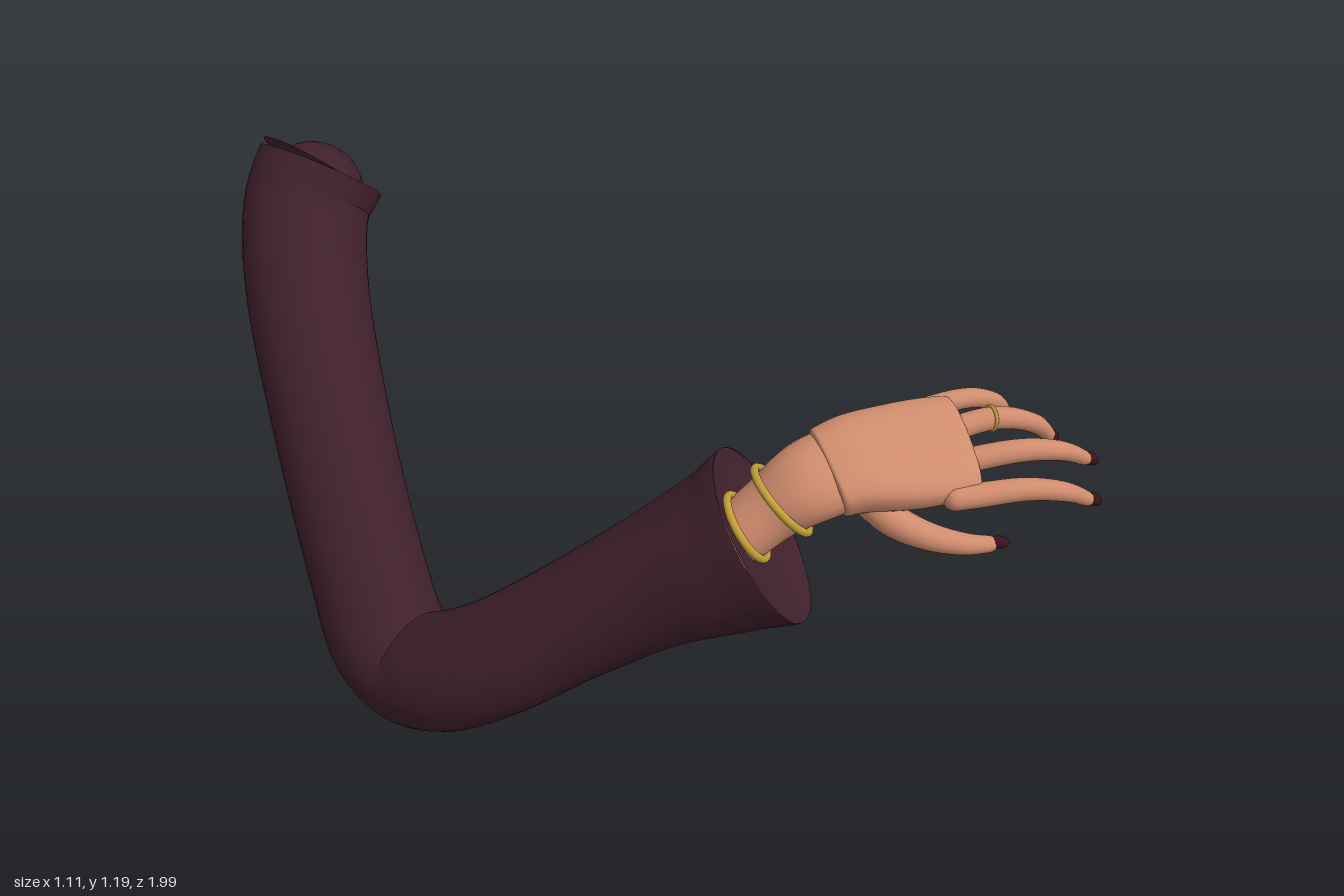
import * as THREE from 'three';

const V = (p) => new THREE.Vector3(...p);
const mat = (name, color, side = THREE.FrontSide) => {
  const m = new THREE.MeshStandardMaterial({ color, side });
  m.name = name;
  return m;
};

// Sweep an oval section along a curve. Radii are [across, thick] per control point;
// power < 1 squares the section, capStart and capEnd are rounded fractions of the length.
function sweep(points, radii, { across = [0, 0, 1], rings = 28, sides = 20, power = 1, capStart = 0, capEnd = 0 } = {}) {
  const curve = new THREE.CatmullRomCurve3(points.map(V));
  const sizes = new THREE.SplineCurve(radii.map((r) => new THREE.Vector2(...r)));
  const ref = V(across).normalize(), pos = [], index = [];
  const bend = (x) => Math.sign(x) * Math.abs(x) ** power;
  for (let k = 0; k <= rings; k++) {
    const s = capStart || capEnd ? (1 - Math.cos(Math.PI * k / rings)) / 2 : k / rings;
    const c = curve.getPoint(s), t = curve.getTangent(s);
    const u = ref.clone().addScaledVector(t, -ref.dot(t)).normalize();
    const v = t.clone().cross(u);
    let q = 1;
    if (s < capStart) q = Math.sqrt(Math.max(0, 1 - (1 - s / capStart) ** 2));
    if (s > 1 - capEnd) q = Math.sqrt(Math.max(0, 1 - ((s - 1 + capEnd) / capEnd) ** 2));
    const size = sizes.getPoint(s).multiplyScalar(Math.max(q, 0.001));
    for (let n = 0; n < sides; n++) {
      const w = n / sides * Math.PI * 2;
      const p = c.clone().addScaledVector(u, size.x * bend(Math.cos(w))).addScaledVector(v, size.y * bend(Math.sin(w)));
      pos.push(p.x, p.y, p.z);
      if (k < rings) {
        const A = k * sides + n, B = k * sides + (n + 1) % sides;
        index.push(A, B, A + sides, B, B + sides, A + sides);
      }
    }
  }
  const g = new THREE.BufferGeometry();
  g.setAttribute('position', new THREE.Float32BufferAttribute(pos, 3));
  g.setIndex(index);
  g.computeVertexNormals();
  return g;
}

const round = (list) => list.map((r) => [r, r]);

export function createModel() {
  const model = new THREE.Group();
  model.name = 'arm';
  const cloth = mat('sleeve plum', 0x40202b, THREE.DoubleSide);
  const skin = mat('skin', 0xd08c6e);
  const gold = mat('gold', 0xc29e38);
  const polish = mat('nail polish', 0x3a121c);

  const add = (name, geometry, material, parent = model) => {
    const m = new THREE.Mesh(geometry, material);
    m.name = name;
    parent.add(m);
    return m;
  };
  // Place a mesh so that its local axis points along dir
  const aim = (mesh, at, dir, axis = [0, 1, 0]) => {
    mesh.position.copy(V(at));
    mesh.quaternion.setFromUnitVectors(V(axis), V(dir).normalize());
    return mesh;
  };

  // Sleeve, from shoulder to flared cuff
  const cuffAt = [-0.06, 0.66, 0.5], cuffDir = [0.5, 0.54, 0.67];
  const shoulderAt = [-0.065, 1.085, -0.845], shoulderDir = [1, 1, 0];
  add('sleeve', sweep(
    [shoulderAt, [-0.117, 1.02, -0.84], [-0.2, 0.88, -0.765], [-0.315, 0.6, -0.572], [-0.392, 0.315, -0.392],
      [-0.416, 0.178, -0.305], [-0.418, 0.133, -0.23], [-0.405, 0.168, -0.125], [-0.365, 0.25, 0], [-0.275, 0.378, 0.15],
      [-0.18, 0.515, 0.31], [-0.095, 0.622, 0.452], cuffAt],
    round([0.152, 0.147, 0.144, 0.137, 0.136, 0.14, 0.134, 0.139, 0.135, 0.135, 0.149, 0.182, 0.202]),
    { across: [0.8, -0.4, -0.3], rings: 72, sides: 36 }), cloth);

  // Shallow linings at both openings
  const lining = (r, depth) => new THREE.LatheGeometry(
    [[0, -depth], [r * 0.5, -depth * 0.9], [r * 0.82, -depth * 0.4], [r, 0]].map((p) => new THREE.Vector2(...p)), 36);
  aim(add('cuffLining', lining(0.202, 0.03), cloth), cuffAt, cuffDir);
  aim(add('shoulderLining', lining(0.152, 0.03), cloth), shoulderAt, shoulderDir);
  const ball = add('shoulderBall', new THREE.SphereGeometry(0.12, 32, 20), cloth);
  ball.position.set(-0.095, 1.037, -0.845);

  // Wrist and palm
  const hand = new THREE.Group();
  hand.name = 'hand';
  model.add(hand);
  const across = [-0.11, -0.1, 0.2];
  add('wrist', sweep([[-0.12, 0.63, 0.44], [-0.04, 0.715, 0.5], [0.015, 0.775, 0.55], [0.09, 0.81, 0.605]],
    [[0.07, 0.062], [0.075, 0.064], [0.094, 0.066], [0.1, 0.05]], { across, capEnd: 0.08 }), skin, hand);
  add('palm', sweep([[0.042, 0.793, 0.573], [0.1, 0.81, 0.612], [0.18, 0.816, 0.672], [0.25, 0.822, 0.722], [0.3, 0.824, 0.757]],
    [[0.102, 0.058], [0.113, 0.058], [0.125, 0.052], [0.126, 0.045], [0.12, 0.04]],
    { across, power: 0.75, capStart: 0.04, capEnd: 0.08, sides: 32, rings: 36 }), skin, hand);

  // Fingers and thumb, each with a painted nail
  const digits = {
    indexFinger: [[0.16, 0.77, 0.79], [0.22, 0.772, 0.838], [0.3, 0.775, 0.9], [0.38, 0.752, 0.953], [0.443, 0.712, 0.982]],
    middleFinger: [[0.21, 0.8, 0.74], [0.27, 0.815, 0.787], [0.35, 0.828, 0.855], [0.44, 0.803, 0.902], [0.513, 0.757, 0.927]],
    ringFinger: [[0.24, 0.825, 0.68], [0.3, 0.845, 0.715], [0.38, 0.856, 0.764], [0.47, 0.82, 0.807], [0.533, 0.76, 0.82]],
    littleFinger: [[0.26, 0.85, 0.61], [0.32, 0.863, 0.644], [0.4, 0.864, 0.683], [0.475, 0.83, 0.706], [0.53, 0.765, 0.711]],
    thumb: [[0.075, 0.765, 0.655], [0.098, 0.718, 0.7], [0.14, 0.68, 0.765], [0.197, 0.658, 0.83], [0.253, 0.652, 0.878]],
  };
  for (const [name, path] of Object.entries(digits)) {
    const r = name === 'thumb' ? [0.038, 0.036, 0.031, 0.024, 0.017]
      : name === 'littleFinger' ? [0.024, 0.024, 0.022, 0.019, 0.014] : [0.028, 0.027, 0.025, 0.021, 0.015];
    add(name, sweep(path, round(r), { across, capStart: 0.08, capEnd: 0.07, sides: 16 }), skin, hand);
    const tip = V(path[4]), dir = tip.clone().sub(V(path[3])).normalize();
    const nail = add(name + 'Nail', new THREE.SphereGeometry(1, 14, 10), polish, hand);
    nail.scale.set(0.014, 0.024, 0.014);
    aim(nail, [tip.x, tip.y + 0.004, tip.z], dir.toArray());
  }

  // Gold bangles and finger ring
  const band = (name, r, tube, at, dir) =>
    aim(add(name, new THREE.TorusGeometry(r, tube, 10, 40), gold), at, dir, [0, 0, 1]);
  band('lowerBangle', 0.076, 0.009, [-0.092, 0.688, 0.482], [0.53, 0.58, 0.62]);
  band('upperBangle', 0.087, 0.009, [-0.023, 0.737, 0.517], [0.55, 0.66, 0.47]);
  band('fingerRing', 0.026, 0.004, [0.372, 0.857, 0.759], [0.85, -0.05, 0.5]);
  return model;
}
